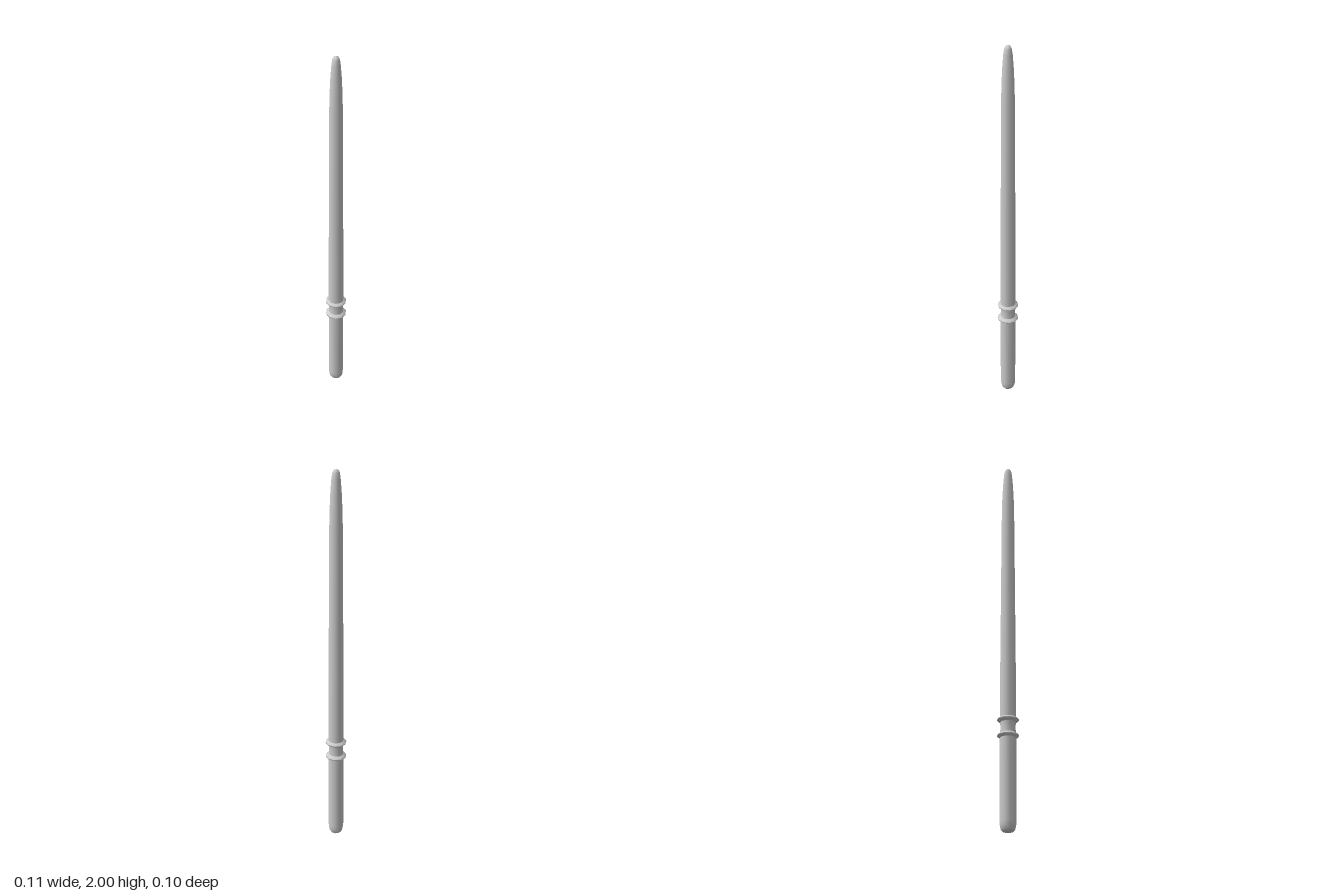
import * as THREE from 'three';

const SIDES = 10;

// Turned part from [radius, height] pairs, with a corner on the x axis
function turned(name, points) {
  const profile = points.map(([r, y]) => new THREE.Vector2(r, y));
  const mesh = new THREE.Mesh(
    new THREE.LatheGeometry(profile, SIDES, Math.PI / 2),
    new THREE.MeshStandardMaterial({ color: 0xcccccc })
  );
  mesh.name = name;
  return mesh;
}

export function createModel() {
  const group = new THREE.Group();
  group.name = 'baton';

  // Grip with a rounded, closed butt
  group.add(turned('grip', [
    [0, 0], [0.027, 0.002], [0.034, 0.011], [0.038, 0.028], [0.04, 0.05], [0.04, 0.465],
  ]));

  // Two thin flared rings
  for (const [name, y] of [['lowerRing', 0.472], ['upperRing', 0.553]]) {
    group.add(turned(name, [
      [0.038, y - 0.014], [0.044, y - 0.008], [0.054, y - 0.003],
      [0.054, y + 0.003], [0.044, y + 0.008], [0.038, y + 0.014],
    ]));
  }

  // Slightly waisted collar between the rings
  group.add(turned('collar', [
    [0.04, 0.465], [0.038, 0.49], [0.037, 0.512], [0.038, 0.535], [0.04, 0.56],
  ]));

  // Long tapering shaft with a rounded tip
  group.add(turned('shaft', [
    [0.04, 0.555], [0.039, 0.8], [0.037, 1.1], [0.035, 1.4], [0.033, 1.7], [0.031, 1.8],
    [0.027, 1.89], [0.022, 1.955], [0.018, 1.982], [0.012, 1.995], [0, 2],
  ]));

  return group;
}
